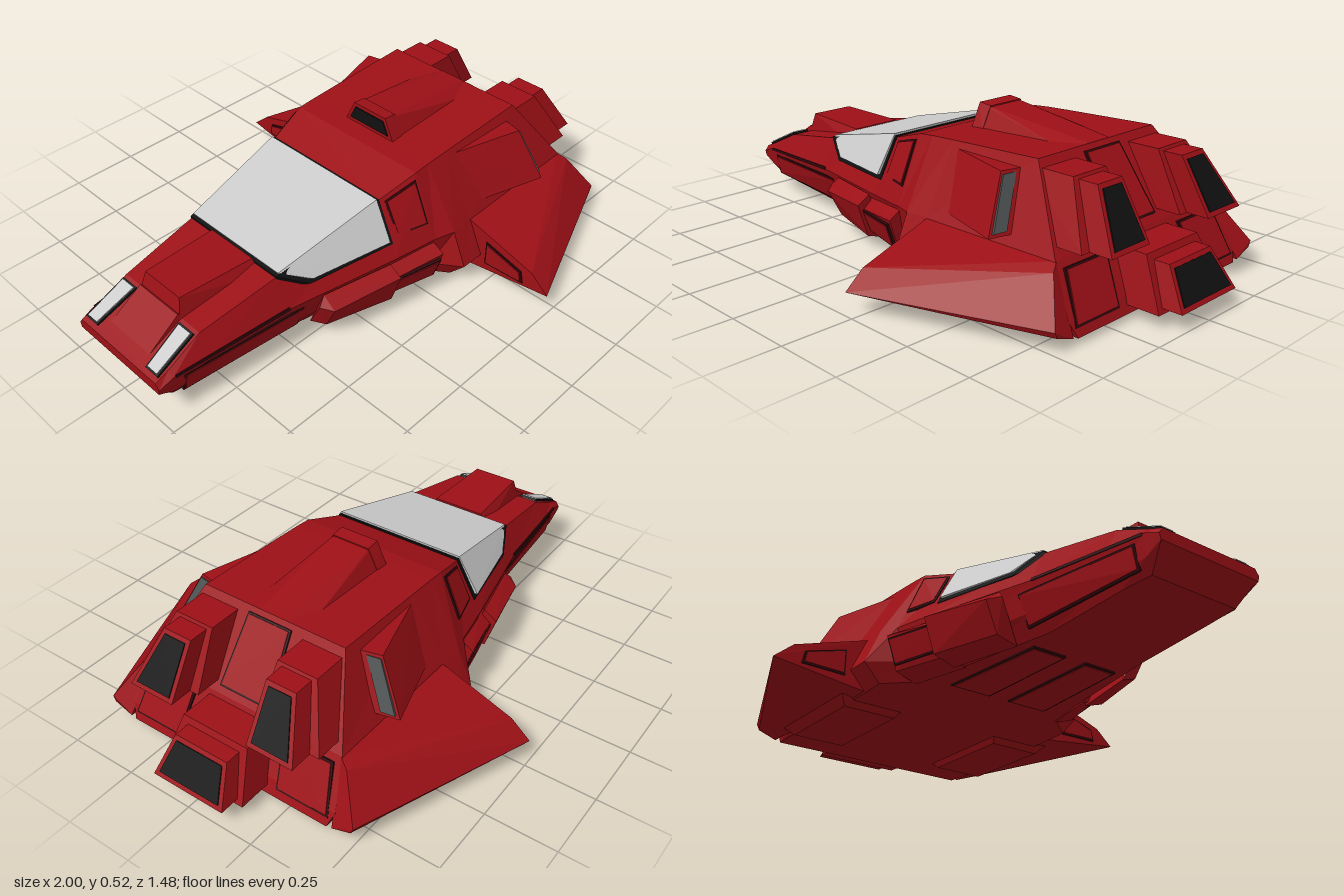
import * as THREE from 'three';
import { ConvexGeometry } from 'three/addons/geometries/ConvexGeometry.js';

const mat = (color, side = THREE.FrontSide) =>
  new THREE.MeshStandardMaterial({ color, flatShading: true, side });
const RED = mat(0x9c1016), SEAM = mat(0x30060a), BLACK = mat(0x101010);
const VENT = mat(0x505454), GLASS = mat(0xcccccc);

const flip = (pts) => pts.map(([x, y, z]) => [x, y, -z]);
const vec = (pts) => pts.map((p) => new THREE.Vector3(...p));

export function createModel() {
  const model = new THREE.Group();

  const add = (name, geometry, material) => {
    const mesh = new THREE.Mesh(geometry, material);
    mesh.name = name;
    model.add(mesh);
  };
  // Faceted solid around a few corners
  const solid = (name, pts, material = RED) => add(name, new ConvexGeometry(vec(pts)), material);
  // The same solid on both sides
  const pair = (name, pts, material = RED) => {
    solid(name + 'Left', pts, material);
    solid(name + 'Right', flip(pts), material);
  };
  // Solid symmetric about z = 0, from its half
  const centred = (name, pts, material = RED) => solid(name, [...pts, ...flip(pts)], material);

  // Corners of a thin plate lying on a flat outline
  const plate = (pts, t) => {
    const v = vec(pts);
    const n = v[1].clone().sub(v[0]).cross(v[2].clone().sub(v[0])).setLength(t);
    return [...v.map((p) => p.clone().add(n)), ...v.map((p) => p.clone().sub(n))].map((p) => p.toArray());
  };
  // Pull an outline's corners inward by a distance
  const inset = (pts, d) => {
    const v = vec(pts);
    const at = (i) => v[(i + v.length) % v.length];
    return v.map((p, i) => {
      const a = at(i - 1).clone().sub(p).normalize(), b = at(i + 1).clone().sub(p).normalize();
      return p.clone().addScaledVector(a, d).addScaledVector(b, d).toArray();
    });
  };
  // Red panel with a dark seam around it
  const panel = (name, pts) => {
    pair(name + 'Seam', plate(pts, 0.004), SEAM);
    pair(name, plate(inset(pts, 0.007), 0.007));
  };

  // Hull: half sections (bottom edge, lower knuckle, side knuckle, top edge), nose to tail
  const sections = [
    [[-0.99, 0.12, 0.19], [-1, 0.13, 0.2], [-1, 0.15, 0.205], [-1, 0.17, 0.19]],
    [[-0.93, 0.06, 0.17], [-0.94, 0.1, 0.2], [-0.95, 0.17, 0.21], [-0.95, 0.19, 0.19]],
    [[-0.82, 0.055, 0.18], [-0.82, 0.1, 0.205], [-0.82, 0.175, 0.225], [-0.82, 0.25, 0.185]],
    [[-0.52, 0.035, 0.19], [-0.52, 0.1, 0.235], [-0.52, 0.19, 0.26], [-0.52, 0.3, 0.21]],
    [[-0.12, 0.03, 0.26], [-0.12, 0.09, 0.31], [-0.12, 0.205, 0.35], [-0.12, 0.39, 0.25]],
    [[0.04, 0.03, 0.31], [0.04, 0.09, 0.36], [0.04, 0.21, 0.38], [0.04, 0.44, 0.28]],
    [[0.11, 0.025, 0.4], [0.11, 0.09, 0.46], [0.11, 0.215, 0.405], [0.1, 0.445, 0.28]],
    [[0.2, 0.02, 0.4], [0.2, 0.09, 0.46], [0.2, 0.22, 0.4], [0.2, 0.45, 0.28]],
    [[0.83, 0.02, 0.4], [0.81, 0.07, 0.42], [0.73, 0.22, 0.39], [0.56, 0.465, 0.28]],
  ];
  const rings = sections.map((s) => [...s, ...flip(s).reverse()]);
  const tri = [];
  const quad = (a, b, c, d) => tri.push(...a, ...b, ...c, ...a, ...c, ...d);
  for (let i = 0; i + 1 < rings.length; i++) {
    for (let j = 0; j < 8; j++) {
      const k = (j + 1) % 8;
      quad(rings[i][j], rings[i + 1][j], rings[i + 1][k], rings[i][k]);
    }
  }
  const nose = rings[0], tail = rings[rings.length - 1];
  for (let j = 0; j < 3; j++) {
    quad(nose[j], nose[j + 1], nose[6 - j], nose[7 - j]);
    quad(tail[j], tail[7 - j], tail[6 - j], tail[j + 1]);
  }
  const hull = new THREE.BufferGeometry();
  hull.setAttribute('position', new THREE.Float32BufferAttribute(tri, 3));
  hull.computeVertexNormals();
  add('hull', hull, mat(0x9c1016, THREE.DoubleSide));

  // Canopy glass over a dark surround
  centred('canopyTrim', [[-0.53, 0.304, 0.213], [-0.43, 0.243, 0.263], [-0.115, 0.255, 0.328],
    [-0.11, 0.399, 0.254], [-0.53, 0.26, 0.2], [-0.11, 0.26, 0.26]], BLACK);
  centred('canopyGlass', [[-0.52, 0.312, 0.21], [-0.42, 0.258, 0.264], [-0.13, 0.27, 0.329],
    [-0.12, 0.404, 0.254], [-0.5, 0.27, 0.2], [-0.125, 0.27, 0.26]], GLASS);
  panel('cockpitSidePanel', [[-0.09, 0.27, 0.32], [-0.09, 0.385, 0.26], [0.03, 0.42, 0.287], [0.03, 0.27, 0.352]]);

  // Nose hood, bumper wedge and headlights
  centred('noseHood', [[-0.83, 0.24, 0.1], [-0.81, 0.32, 0.085], [-0.53, 0.312, 0.1], [-0.53, 0.26, 0.13]]);
  centred('noseWedge', [[-0.98, 0.17, 0.1], [-0.83, 0.27, 0.095], [-0.78, 0.24, 0.1]]);
  const lamp = [[-0.985, 0.18, 0.125], [-0.985, 0.18, 0.183], [-0.835, 0.25, 0.177], [-0.835, 0.25, 0.108]];
  pair('headlightTrim', plate(lamp, 0.004), BLACK);
  pair('headlight', plate(inset(lamp, 0.006), 0.008), GLASS);

  // Seam along the side and stepped side pods
  pair('sideSeam', plate([[-0.94, 0.165, 0.209], [-0.94, 0.175, 0.209], [-0.52, 0.197, 0.258], [-0.52, 0.187, 0.26]], 0.003), SEAM);
  panel('noseSidePanel', [[-0.91, 0.075, 0.192], [-0.91, 0.155, 0.209], [-0.46, 0.165, 0.262], [-0.46, 0.06, 0.222]]);
  const sidePod = (name, x0, x1, z0, z1) => pair(name, [
    [x0 - 0.03, 0.16, z0 - 0.04], [x0, 0.15, z0], [x0 + 0.01, 0.05, z0 - 0.05], [x0, 0.025, z0 - 0.12],
    [x1, 0.17, z1], [x1, 0.2, z1 - 0.05], [x1, 0.05, z1 - 0.04], [x1, 0.025, z1 - 0.12], [x0, 0.19, z0 - 0.05]]);
  sidePod('frontSidePod', -0.4, -0.15, 0.34, 0.4);
  sidePod('rearSidePod', -0.17, 0.04, 0.37, 0.42);
  panel('podPanel', [[-0.15, 0.065, 0.342], [-0.15, 0.15, 0.376], [0.03, 0.155, 0.42], [0.03, 0.065, 0.388]]);

  // Wings with a bevelled outer edge and a leading edge intake
  pair('wing', [[0.21, 0.07, 0.74], [0.21, 0.13, 0.67], [0.2, 0.22, 0.39], [0.2, 0.025, 0.4],
    [0.73, 0.22, 0.385], [0.75, 0.2, 0.42], [0.83, 0.07, 0.5], [0.83, 0.025, 0.42], [0.83, 0.05, 0.49]]);
  panel('wingIntake', [[0.203, 0.065, 0.48], [0.203, 0.16, 0.48], [0.206, 0.115, 0.63], [0.206, 0.07, 0.64]]);

  // Wedge scoops on the upper sides, vents facing aft
  pair('sideScoop', [[0.21, 0.43, 0.285], [0.25, 0.25, 0.375], [0.49, 0.43, 0.365], [0.53, 0.25, 0.458],
    [0.51, 0.43, 0.28], [0.55, 0.25, 0.37]]);
  pair('sideVent', plate([[0.502, 0.42, 0.315], [0.495, 0.42, 0.363], [0.534, 0.262, 0.443], [0.542, 0.262, 0.395]], 0.005), VENT);

  // Roof scoop tapering aft, with a dark mouth
  centred('roofScoop', [[0.11, 0.44, 0.11], [0.11, 0.52, 0.07], [0.16, 0.515, 0.07], [0.56, 0.467, 0.05], [0.5, 0.45, 0.11]]);
  centred('roofScoopRim', [[0.11, 0.44, 0.113], [0.11, 0.524, 0.073], [0.16, 0.519, 0.073], [0.16, 0.44, 0.113]]);
  solid('roofScoopMouth', plate([[0.109, 0.46, 0.09], [0.109, 0.51, 0.065], [0.109, 0.51, -0.065], [0.109, 0.46, -0.09]], 0.003), BLACK);

  // Sheared engine housing: top and bottom edges as [x, y, zInner, zOuter]
  const housing = (top, bottom, depth) => {
    const face = [[top[0], top[1], top[2]], [top[0], top[1], top[3]],
      [bottom[0], bottom[1], bottom[3]], [bottom[0], bottom[1], bottom[2]]];
    return { face, body: [...face, ...face.map(([x, y, z]) => [x - depth, y, z])] };
  };

  // Upper engines in two steps
  const upperBase = housing([0.695, 0.44, 0.13, 0.28], [0.8, 0.25, 0.115, 0.36], 0.18);
  const upperTip = housing([0.77, 0.43, 0.15, 0.262], [0.88, 0.25, 0.15, 0.325], 0.2);
  pair('upperEngineBase', upperBase.body);
  pair('upperEngine', upperTip.body);
  pair('upperEngineExhaust', plate(inset(upperTip.face, 0.016), 0.004), BLACK);

  // Lower central engine in two steps
  const lowerBase = housing([0.855, 0.205, -0.13, 0.13], [0.935, 0.045, -0.165, 0.165], 0.2);
  const lowerTip = housing([0.92, 0.185, -0.105, 0.105], [0.997, 0.06, -0.14, 0.14], 0.2);
  solid('lowerEngineBase', lowerBase.body);
  solid('lowerEngine', lowerTip.body);
  solid('lowerEngineExhaust', plate(inset(lowerTip.face, 0.016), 0.004), BLACK);

  // Panels across the tail
  panel('tailPanel', [[0.745, 0.2, 0.18], [0.745, 0.2, 0.37], [0.818, 0.045, 0.4], [0.818, 0.045, 0.2]]);
  const upperTail = [[0.573, 0.45, 0.085], [0.573, 0.45, -0.085], [0.716, 0.24, -0.1], [0.716, 0.24, 0.1]];
  solid('tailCentreSeam', plate(upperTail, 0.004), SEAM);
  solid('tailCentrePanel', plate(inset(upperTail, 0.007), 0.007));

  // Landing skids and belly hatches
  pair('landingSkid', [[0.27, 0.03, 0.2], [0.27, 0.03, 0.45], [0.7, 0.03, 0.2], [0.7, 0.03, 0.45],
    [0.3, 0, 0.22], [0.3, 0, 0.42], [0.67, 0, 0.22], [0.67, 0, 0.42]]);
  panel('bellyHatch', [[-0.42, 0.032, 0.04], [-0.42, 0.032, 0.17], [-0.02, 0.029, 0.2], [-0.02, 0.029, 0.04]]);

  return model;
}
